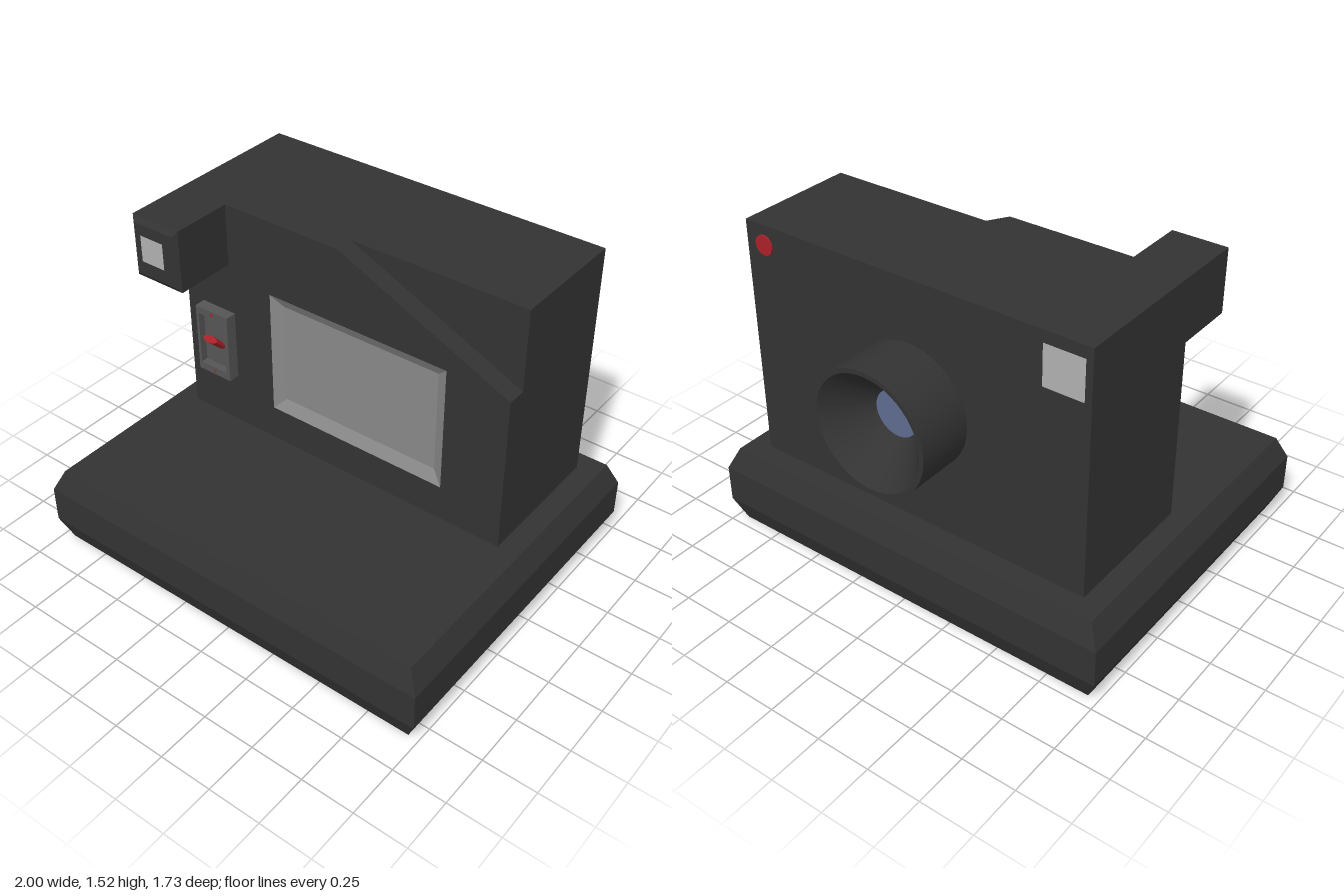
import * as THREE from 'three';

const mat = (color, flatShading = true) =>
  new THREE.MeshStandardMaterial({ color, flatShading, side: THREE.DoubleSide });
const dark = mat(0x333333), darkSmooth = mat(0x333333, false), panelGrey = mat(0x555555);
const screenGrey = mat(0x888888), paleGrey = mat(0xb0b0b0), red = mat(0xaa2029), glass = mat(0x5f6c90);

// Joins rectangles [x0, x1, y0, y1, z] into a solid along z; the last one is capped.
function rectLoft(sections, capFirst = false) {
  const rings = sections.map(([x0, x1, y0, y1, z]) =>
    [[x0, y0, z], [x1, y0, z], [x1, y1, z], [x0, y1, z]]);
  const pos = [];
  const quad = (a, b, c, d) => pos.push(...a, ...b, ...c, ...a, ...c, ...d);
  for (let i = 0; i + 1 < rings.length; i++) {
    for (let k = 0; k < 4; k++) {
      const n = (k + 1) % 4;
      quad(rings[i][k], rings[i][n], rings[i + 1][n], rings[i + 1][k]);
    }
  }
  quad(...rings[rings.length - 1]);
  if (capFirst) quad(...[...rings[0]].reverse());
  const g = new THREE.BufferGeometry();
  g.setAttribute('position', new THREE.Float32BufferAttribute(pos, 3));
  g.computeVertexNormals();
  return g;
}

export function createModel() {
  const model = new THREE.Group();
  const add = (name, geometry, material, x = 0, y = 0, z = 0) => {
    const m = new THREE.Mesh(geometry, material);
    m.name = name;
    m.position.set(x, y, z);
    model.add(m);
    return m;
  };

  // Wide base with chamfered rim
  const rim = [-1, 1, -0.865, 0.735], inset = [-0.95, 0.95, -0.825, 0.695];
  add('base', rectLoft([[...inset, 0], [...rim, 0.11], [...rim, 0.285], [...inset, 0.39]], true)
    .rotateX(-Math.PI / 2), dark);

  // Upright body: rear block, and a front slab with a cut corner and a screen opening
  add('body', new THREE.BoxGeometry(1.7, 1.135, 0.57), dark, 0, 0.9575, -0.315);
  const points = (list) => list.map(([x, y]) => new THREE.Vector2(x, y));
  const slab = new THREE.Shape(points(
    [[-0.85, 0.39], [0.85, 0.39], [0.85, 1.145], [0, 1.525], [-0.85, 1.525]]));
  slab.holes.push(new THREE.Path(points(
    [[-0.365, 0.56], [-0.365, 1.165], [0.55, 1.165], [0.55, 0.56]])));
  add('frontSlab', new THREE.ExtrudeGeometry(slab, { depth: 0.09, bevelEnabled: false }), dark, 0, 0, -0.03);

  // Sunken screen with sloping sides
  add('screen', rectLoft([[-0.365, 0.55, 0.56, 1.165, 0.06], [-0.31, 0.495, 0.615, 1.11, 0.03]]), screenGrey);

  // Viewfinder box and its window
  const finder = [-0.85, -0.595, 1.23, 1.525];
  add('viewfinder', rectLoft([[...finder, 0.06], [...finder, 0.35], [-0.83, -0.615, 1.255, 1.5, 0.368]]), dark);
  add('viewfinderWindow', new THREE.PlaneGeometry(0.125, 0.125), paleGrey, -0.733, 1.385, 0.371);

  // Switch plate with a pocket, lever and two markers
  const plate = [-0.76, -0.575, 0.645, 0.985], pocket = [-0.745, -0.595, 0.683, 0.95];
  add('switchPlate', rectLoft([[...plate, 0.06], [...plate, 0.115], [...pocket, 0.115], [...pocket, 0.08]]), panelGrey);
  const lever = add('switchLever',
    new THREE.CylinderGeometry(0.04, 0.04, 0.09, 20).translate(0, -0.045, 0).scale(1, 1, 0.41),
    mat(0xaa2029, false), -0.667, 0.849, 0.133);
  lever.rotation.x = Math.PI / 4;
  [[0.968, Math.PI / 2], [0.664, -Math.PI / 2]].forEach(([y, turn]) => {
    add('switchMarker', new THREE.CircleGeometry(0.013, 3), red, -0.667, y, 0.117).rotation.z = turn;
  });

  // Lens barrel on the back, funnelled down to the glass
  const groups = [
    [[0.283, 0], [0.283, 0.265]],
    [[0.283, 0.265], [0.262, 0.265]],
    [[0.262, 0.265], [0.105, 0.085]],
  ];
  groups.forEach((profile, i) => {
    const part = add(['lensBarrel', 'lensRim', 'lensFunnel'][i],
      new THREE.LatheGeometry(points(profile), 48), darkSmooth, 0, 0.957, -0.6);
    part.rotation.x = -Math.PI / 2;
  });
  add('lensGlass', new THREE.CircleGeometry(0.107, 40).rotateY(Math.PI), glass, 0, 0.957, -0.686);

  // Flash and shutter button on the back
  add('flash', new THREE.PlaneGeometry(0.185, 0.185).rotateY(Math.PI), paleGrey, -0.728, 1.38, -0.603);
  add('shutterButton', new THREE.CylinderGeometry(0.045, 0.045, 0.02, 32).rotateX(Math.PI / 2),
    red, 0.752, 1.435, -0.598);

  return model;
}
